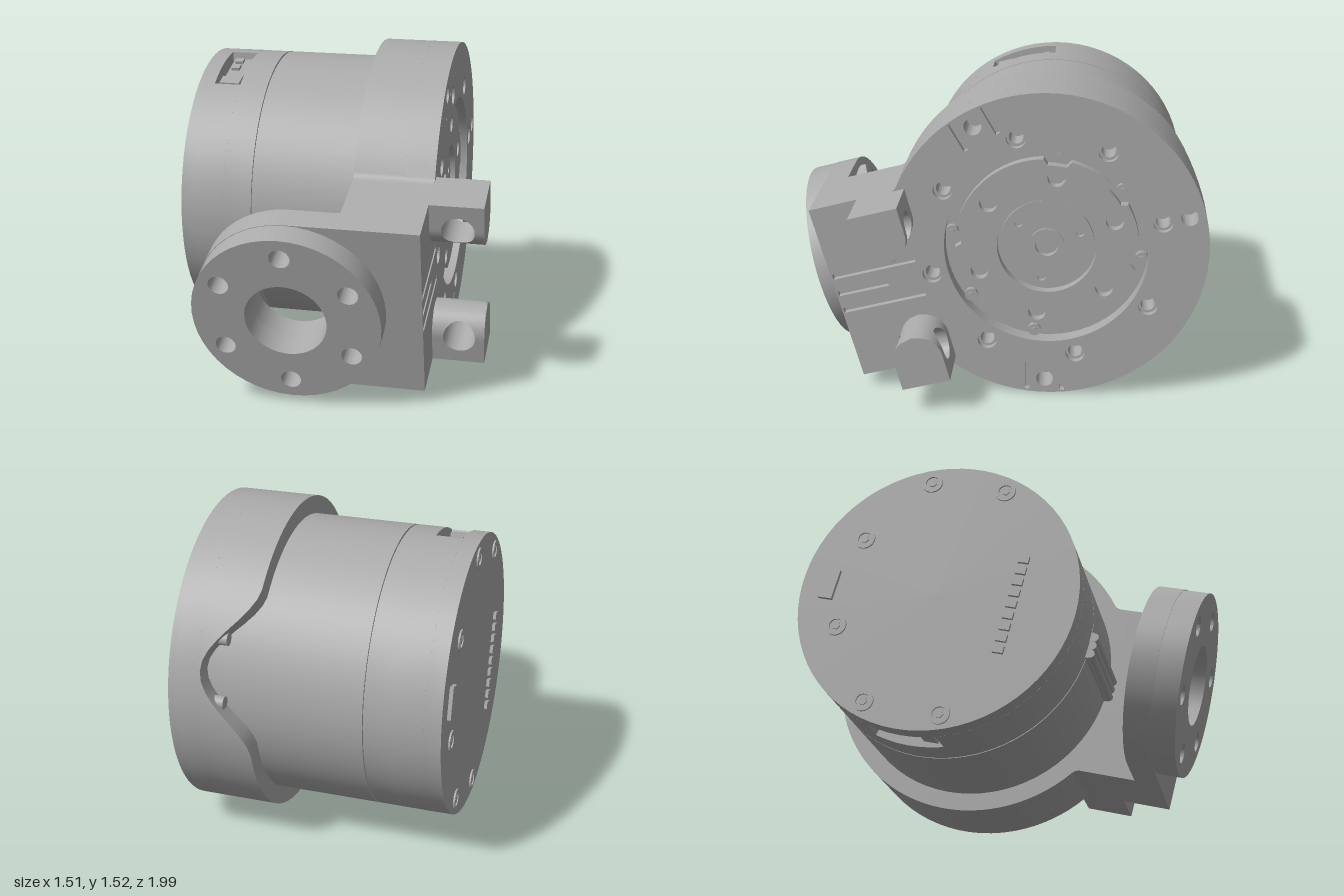
import * as THREE from 'three';
import { toCreasedNormals } from 'three/addons/utils/BufferGeometryUtils.js';

const metal = new THREE.MeshStandardMaterial({ color: 0xaaaaaa });
metal.name = 'grey metal';
const rad = THREE.MathUtils.degToRad;
const TAU = Math.PI * 2;

export function createModel() {
  const model = new THREE.Group();
  // Everything is built around the motor axis (x); the arm points along local +z.
  const unit = new THREE.Group();
  unit.name = 'driveUnit';
  unit.position.set(0, 0.765, -0.235);
  unit.rotation.x = rad(15);
  model.add(unit);

  const add = (name, geo) => {
    const mesh = new THREE.Mesh(toCreasedNormals(geo, 0.5), metal);
    mesh.name = name;
    unit.add(mesh);
  };
  // Prism along x from a shape drawn in (z, y)
  const prismX = (shape, x0, x1) =>
    new THREE.ExtrudeGeometry(shape, { depth: x1 - x0, bevelEnabled: false, curveSegments: 32 })
      .rotateY(-Math.PI / 2).translate(x1, 0, 0);
  const prismZ = (shape, z0, z1) =>
    new THREE.ExtrudeGeometry(shape, { depth: z1 - z0, bevelEnabled: false, curveSegments: 24 }).translate(0, 0, z0);
  const rod = (r, x0, x1, z = 0, y = 0, n = 72) =>
    new THREE.CylinderGeometry(r, r, x1 - x0, n).rotateZ(-Math.PI / 2).translate((x0 + x1) / 2, y, z);
  const box = (w, h, d, x, y, z) => new THREE.BoxGeometry(w, h, d).translate(x, y, z);
  const circle = (u, v, r) => new THREE.Path().absarc(u, v, r, 0, TAU, false);
  const polar = (r, deg) => [r * Math.cos(rad(deg)), r * Math.sin(rad(deg))];
  const disc = (r) => new THREE.Shape().absarc(0, 0, r, 0, TAU, false);
  const sector = (r0, r1, a0, a1) => new THREE.Shape()
    .absarc(0, 0, r1, rad(a0), rad(a1), false).absarc(0, 0, r0, rad(a1), rad(a0), true).closePath();
  // Rectangular slot, turned by an angle about the motor axis
  const slot = (u0, u1, v, w, deg) => {
    const c = Math.cos(rad(deg)), s = Math.sin(rad(deg));
    return new THREE.Path([[u0, v - w], [u1, v - w], [u1, v + w], [u0, v + w]]
      .map(([a, b]) => new THREE.Vector2(a * c - b * s, a * s + b * c)));
  };
  // Closed surface from a ring of closed cross-sections
  const ringLoft = (n, section) => {
    const pos = [], idx = [];
    let m = 0;
    for (let i = 0; i < n; i++) {
      const pts = section(i);
      m = pts.length;
      pts.forEach((p) => pos.push(...p));
    }
    for (let i = 0; i < n; i++) for (let j = 0; j < m; j++) {
      const i2 = (i + 1) % n, j2 = (j + 1) % m;
      const a = i * m + j, b = i2 * m + j, c = i2 * m + j2, d = i * m + j2;
      idx.push(a, b, c, a, c, d);
    }
    const geo = new THREE.BufferGeometry();
    geo.setAttribute('position', new THREE.Float32BufferAttribute(pos, 3));
    geo.setIndex(idx);
    return geo;
  };

  // --- Motor body and rear cover with two connector windows ---
  const R = 0.673;
  add('motorDrum', rod(R, -0.384, 0.36));
  add('seamCore', rod(R - 0.012, -0.4, -0.38));
  add('coverFront', rod(R, -0.53, -0.392));
  add('coverRear', rod(R, -0.74, -0.66));
  add('windowCore', rod(0.6, -0.67, -0.52));
  for (const a of [90, 270]) {
    add('coverSide', prismX(sector(0.55, R, a + 14.5, a + 165.5), -0.66, -0.53));
    const s = a === 90 ? 1 : -1;
    add('circuitBoard', box(0.09, 0.03, 0.2, -0.6, 0.61 * s, -0.045));
    add('socket', box(0.1, 0.06, 0.07, -0.595, 0.615 * s, 0.11));
    for (const z of [-0.11, -0.04]) add('chip', box(0.04, 0.02, 0.04, -0.61, 0.63 * s, z));
  }

  // Rear face: screws, pin row and plug
  const screws = [[0.6, 72], [0.6, 108], [0.6, 252], [0.6, 288], [0.49, 152], [0.49, 208]];
  for (const [r, a] of screws) {
    const [z, y] = polar(r, a);
    const ring = disc(0.05);
    ring.holes.push(circle(0, 0, 0.032));
    add('rearScrewRim', prismX(ring, -0.748, -0.735).translate(0, y, z));
    add('rearScrew', rod(0.02, -0.746, -0.735, z, y, 6));
  }
  for (let i = -4; i <= 4; i++) add('pin', box(0.02, 0.035, 0.05, -0.745, i * 0.057, 0.37));
  add('plug', box(0.025, 0.15, 0.07, -0.745, -0.03, -0.53));

  // Cable ridge under the arm
  add('ridgeBase', box(0.53, 0.13, 0.05, -0.145, 0, 0.66));
  for (const y of [-0.042, 0, 0.042]) add('ridgeRib', rod(0.021, -0.41, 0.12, 0.69, y, 16));

  // --- Flange plate joined to the arm ---
  const F = 0.76, H = 0.445, f = 0.05, END = 1.04;
  const zc = Math.sqrt((F + f) ** 2 - (H + f) ** 2), phi = Math.atan2(H + f, zc);
  const armOutline = (end, inner) => {
    const s = new THREE.Shape().moveTo(end, -H).lineTo(end, H).lineTo(zc, H);
    s.absarc(zc, H + f, f, -Math.PI / 2, phi - Math.PI, true);
    if (inner) s.absarc(0, 0, inner, phi, -phi, true);
    else s.absarc(0, 0, F, phi, TAU - phi, false);
    s.absarc(zc, -H - f, f, Math.PI - phi, Math.PI / 2, true);
    return s.closePath();
  };
  const flange = (boltR) => {
    const s = armOutline(END);
    s.holes.push(circle(0, 0, 0.482));
    for (let i = 0; i < 8; i++) s.holes.push(circle(...polar(0.56, i * 45), boltR));
    for (const a of [75, 180, 285]) s.holes.push(circle(...polar(0.685, a), 0.041));
    return s;
  };
  add('flangePlate', prismX(flange(0.034), 0.36, 0.47));
  const face = flange(0.046);
  for (const a of [75, 285]) for (const v of [-0.085, 0.085]) face.holes.push(slot(0.6, 0.745, v, 0.011, a));
  for (const [y, z] of [[0.09, 0.62], [0, 0.78], [-0.09, 0.62]]) face.holes.push(slot(z, 1.032, y, 0.013, 0));
  add('flangeFace', prismX(face, 0.47, 0.5));

  // Rear rim, scooped away opposite the arm
  add('flangeRim', ringLoft(96, (i) => {
    const t = (i / 96) * TAU, off = Math.abs(t - Math.PI) / rad(31);
    const back = off < 1 ? 0.12 + 0.115 * (1 + Math.cos(off * Math.PI)) : 0.12;
    return [[back, F], [back, 0.66], [0.36, 0.66], [0.36, F]]
      .map(([x, r]) => [x, r * Math.sin(t), r * Math.cos(t)]);
  }));
  for (const a of [168, 192]) add('scoopScrew', rod(0.03, 0.25, 0.35, ...polar(0.7, a), 16));
  add('armBlock', prismX(armOutline(0.915, 0.74), 0.12, 0.36));

  // --- Output hub inside the flange ---
  add('hubFloor', rod(0.5, 0.34, 0.425));
  const wavy = new THREE.Shape();
  for (let i = 0; i < 144; i++) {
    const a = i * 2.5;
    const near = [22, 112, 156, 202, 292, 338].some((t) => Math.abs(a - t) < 8);
    const [z, y] = polar(near ? 0.405 : 0.435, a);
    if (i) wavy.lineTo(z, y); else wavy.moveTo(z, y);
  }
  wavy.closePath();
  wavy.holes.push(circle(0, 0, 0.235));
  for (let i = 0; i < 6; i++) wavy.holes.push(circle(...polar(0.345, 52 + i * 60), 0.042));
  add('outputDisc', prismX(wavy, 0.42, 0.47));
  const hub = disc(0.225);
  hub.holes.push(circle(0, 0, 0.055));
  for (const a of [53, 173, 293]) hub.holes.push(circle(...polar(0.17, a), 0.02));
  add('hubPlate', prismX(hub, 0.42, 0.445));
  const collar = disc(0.082);
  collar.holes.push(circle(0, 0, 0.055));
  add('hubCollar', prismX(collar, 0.44, 0.455));
  for (const a of [22, 112, 156, 202, 292, 338]) {
    const [z, y] = polar(0.452, a);
    add('hubTab', rod(0.03, 0.42, 0.45, z, y, 20));
    add('hubTabScrew', rod(0.014, 0.45, 0.458, z, y, 8));
  }

  // --- Mounting ring at the end of the arm ---
  const CX = -0.11, BORE = 0.192;
  const back = new THREE.Shape().moveTo(0.36, -H).lineTo(0.36, H).lineTo(CX, H)
    .absarc(CX, 0, H, Math.PI / 2, Math.PI * 1.5, false).closePath();
  back.holes.push(circle(CX, 0, BORE));
  const front = new THREE.Shape().absarc(CX, 0, H - 0.002, 0, TAU, false);
  front.holes.push(circle(CX, 0, BORE));
  for (let i = 0; i < 6; i++) {
    const a = rad(30 + i * 60), w = rad(23);
    back.holes.push(new THREE.Path().absarc(CX, 0, 0.405, a - w, a + w, false)
      .absarc(CX, 0, 0.235, a + w * 0.75, a - w * 0.75, true).closePath());
    front.holes.push(circle(CX + 0.345 * Math.cos(a), 0.345 * Math.sin(a), 0.048));
  }
  add('mountRingBack', prismZ(back, 0.915, END));
  add('mountRingFront', prismZ(front, END, 1.158));

  // --- Two round-nosed lugs with a cross hole ---
  const NOSE = 0.117, x0 = 0.49, x1 = 0.75, y0 = 0.193, y1 = H, hx = 0.63, hy = 0.305, SIDE = 16;
  const corners = [[x0, y0], [x1, y0], [x1, y1], [x0, y1]];
  const lug = () => ringLoft(4 * SIDE, (i) => {
    const k = Math.floor(i / SIDE), t = (i % SIDE) / SIDE;
    const a = corners[k], b = corners[(k + 1) % 4];
    const ox = a[0] + (b[0] - a[0]) * t, oy = a[1] + (b[1] - a[1]) * t;
    const ang = Math.atan2(oy - hy, ox - hx);
    const ix = hx + 0.077 * Math.cos(ang), iy = hy + 0.077 * Math.sin(ang);
    const half = [];
    for (let j = 0; j <= 8; j++) {
      const x = ox + (ix - ox) * j / 8, y = oy + (iy - oy) * j / 8;
      const d = Math.min(0, y - (y0 + NOSE));
      half.push([x, y, Math.sqrt(Math.max(NOSE ** 2 - d * d, 1e-5))]);
    }
    return [...half, ...half.slice().reverse().map(([x, y, z]) => [x, y, -z])];
  });
  add('upperLug', lug().translate(0, 0, 0.685));
  add('lowerLug', lug().rotateX(Math.PI).translate(0, 0, 0.685));

  return model;
}
